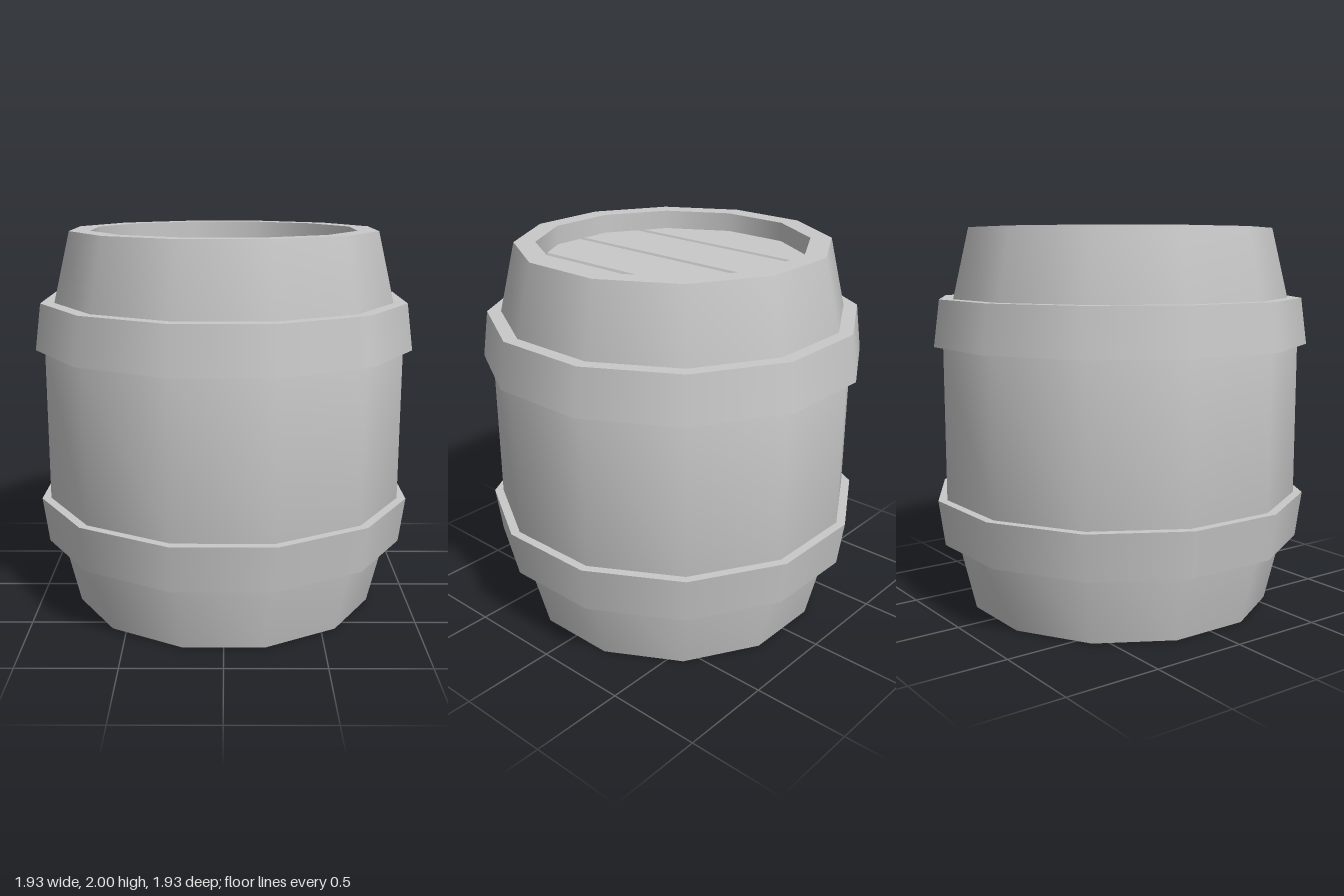
import * as THREE from 'three';

const SIDES = 12;
const LID_RADIUS = 0.7;
const LID_Y = 1.9;
const grey = new THREE.MeshStandardMaterial({ color: 0xc8c8c8 });
grey.name = 'barrel grey';

// Twelve-sided surface of revolution, with flats facing front and sides
function ring(name, profile) {
  const points = profile.map(([r, y]) => new THREE.Vector2(r, y));
  const mesh = new THREE.Mesh(new THREE.LatheGeometry(points, SIDES, Math.PI / SIDES), grey);
  mesh.name = name;
  return mesh;
}

// Half depth of the twelve-sided lid at a given x
function halfDepth(x) {
  const apothem = LID_RADIUS * Math.cos(Math.PI / SIDES);
  let z = apothem;
  for (const a of [Math.PI / 6, Math.PI / 3]) {
    z = Math.min(z, (apothem - Math.abs(x) * Math.sin(a)) / Math.cos(a));
  }
  return z;
}

// Plank lid: strips across x, dipping into a V groove between planks
function lid() {
  const section = [];
  for (const a of [15, 45, 75]) {
    const x = LID_RADIUS * Math.sin(THREE.MathUtils.degToRad(a));
    section.push([x, 0], [-x, 0]);
  }
  for (const x of [-0.36, 0, 0.36]) section.push([x - 0.018, 0], [x, -0.03], [x + 0.018, 0]);
  section.sort((a, b) => a[0] - b[0]);

  const positions = [];
  for (let i = 0; i < section.length - 1; i++) {
    const [x0, y0] = section[i], [x1, y1] = section[i + 1];
    const z0 = halfDepth(x0), z1 = halfDepth(x1);
    positions.push(x0, y0, -z0, x0, y0, z0, x1, y1, z1);
    positions.push(x0, y0, -z0, x1, y1, z1, x1, y1, -z1);
  }
  const geometry = new THREE.BufferGeometry();
  geometry.setAttribute('position', new THREE.Float32BufferAttribute(positions, 3));
  geometry.computeVertexNormals();
  const mesh = new THREE.Mesh(geometry, grey);
  mesh.name = 'plankLid';
  mesh.position.y = LID_Y;
  return mesh;
}

// Rim, inner wall and recessed lid of one end
function barrelEnd(name) {
  const end = new THREE.Group();
  end.name = name;
  end.add(
    ring('rim', [[0.81, 2], [LID_RADIUS, 2]]),
    ring('innerWall', [[LID_RADIUS, 2], [LID_RADIUS, LID_Y - 0.035]]),
    lid()
  );
  return end;
}

// Iron hoop, widest towards the barrel's middle
function hoop(name) {
  const group = new THREE.Group();
  group.name = name;
  group.add(
    ring('hoopUnderside', [[0.94, 1.4], [1, 1.4]]),
    ring('hoopBand', [[1, 1.4], [0.968, 1.64]]),
    ring('hoopTop', [[0.968, 1.64], [0.88, 1.64]])
  );
  return group;
}

export function createModel() {
  const barrel = new THREE.Group();
  barrel.name = 'barrel';
  barrel.add(ring('staves', [[0.81, 0], [0.953, 0.6], [0.953, 1.4], [0.81, 2]]));
  barrel.add(barrelEnd('topEnd'), hoop('upperHoop'));

  // Lower parts are the upper ones turned over
  for (const part of [barrelEnd('bottomEnd'), hoop('lowerHoop')]) {
    part.rotation.x = Math.PI;
    part.position.y = 2;
    barrel.add(part);
  }
  return barrel;
}
